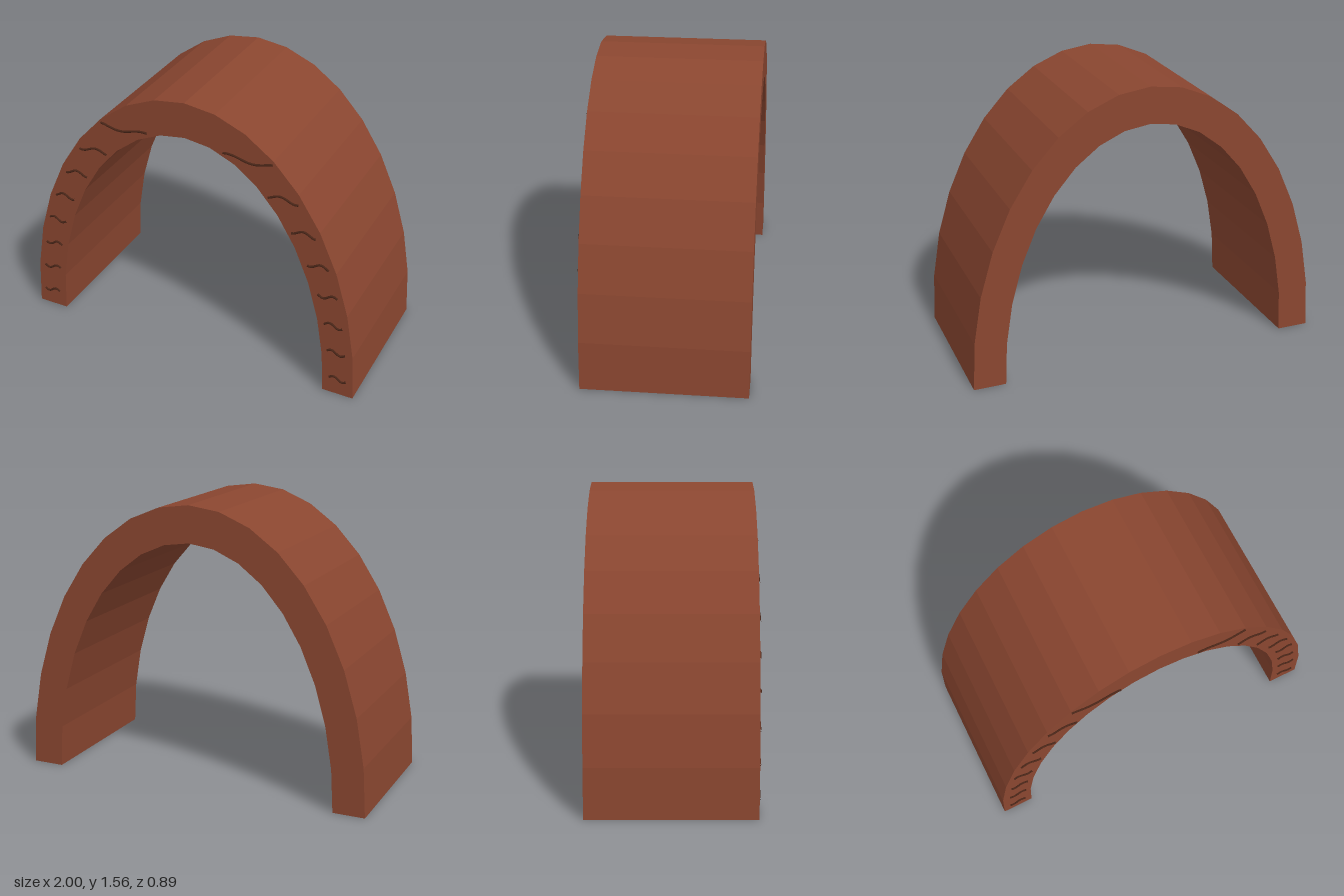
import * as THREE from 'three';

const BACK = -0.445, FRONT = 0.436;

// Points on a half ellipse, from the +x foot over the crown to the -x foot
function halfEllipse(a, b, segments = 18) {
  return Array.from({ length: segments + 1 }, (_, i) => {
    const t = (Math.PI * i) / segments;
    return new THREE.Vector2(a * Math.cos(t), b * Math.sin(t));
  });
}

// Each groove: outer x, inner x, phase of its wave
const GROOVES = [
  [0.96, 0.86, 3.2], [0.945, 0.84, 3.0], [0.92, 0.815, 3.4], [0.88, 0.77, 0.2],
  [0.825, 0.705, -0.8], [0.745, 0.61, -1.6], [0.645, 0.475, -2.2], [0.5, 0.22, -4.1],
];

export function createModel() {
  const group = new THREE.Group();
  const clay = new THREE.MeshStandardMaterial({ color: 0x8a4630 });
  const dark = new THREE.MeshStandardMaterial({ color: 0x4a2618 });

  // Faceted vault
  const profile = new THREE.Shape([
    ...halfEllipse(1, 1.56),
    ...halfEllipse(0.823, 1.36).reverse(),
  ]);
  const vault = new THREE.ExtrudeGeometry(profile, { depth: FRONT - BACK, bevelEnabled: false });
  vault.translate(0, 0, BACK);
  const arch = new THREE.Mesh(vault, clay);
  arch.name = 'arch';
  group.add(arch);

  // Wavy grooves up the front face, mirrored on both legs
  for (const side of [1, -1]) {
    const grooves = new THREE.Group();
    grooves.name = side > 0 ? 'leftGrooves' : 'rightGrooves';
    GROOVES.forEach(([outer, inner, phase], row) => {
      const points = [];
      for (let i = 0; i <= 12; i++) {
        const u = i / 12;
        points.push(new THREE.Vector3(
          side * THREE.MathUtils.lerp(outer, inner, u),
          0.102 + row * 0.174 + 0.013 * Math.sin(2 * Math.PI * u + phase),
          FRONT + 0.003));
      }
      const path = new THREE.CatmullRomCurve3(points);
      const groove = new THREE.Mesh(new THREE.TubeGeometry(path, 24, 0.006, 6), dark);
      groove.name = 'groove';
      grooves.add(groove);
    });
    group.add(grooves);
  }
  return group;
}
